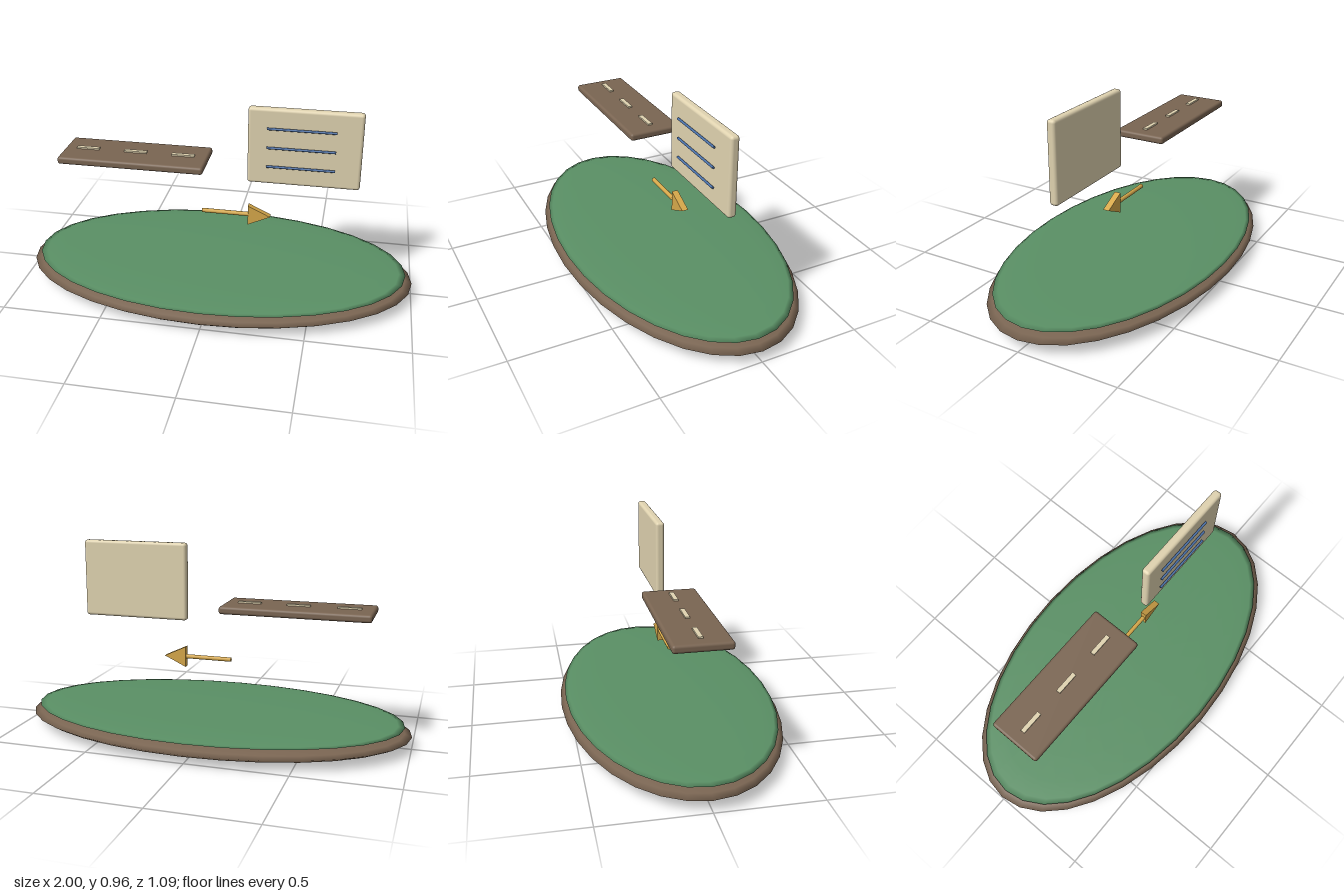
import * as THREE from 'three';
import { RoundedBoxGeometry } from 'three/addons/geometries/RoundedBoxGeometry.js';

export function createModel() {
  const model = new THREE.Group();
  const paint = (color) => new THREE.MeshStandardMaterial({ color });
  const earth = paint(0x7a6552), grass = paint(0x5a9065), cream = paint(0xe0d3b0);
  const blue = paint(0x4a6fa5), gold = paint(0xd6a84a);

  const add = (name, geometry, material, x, y, z = 0) => {
    const mesh = new THREE.Mesh(geometry, material);
    mesh.name = name;
    mesh.position.set(x, y, z);
    model.add(mesh);
    return mesh;
  };
  // flattened sphere
  const disc = (rx, ry, rz) => new THREE.SphereGeometry(1, 32, 12).scale(rx, ry, rz);
  // rod lying along x
  const rod = (radius, length) =>
    new THREE.CylinderGeometry(radius, radius, length, 12).rotateZ(-Math.PI / 2);

  // oval island
  add('islandBase', disc(1, 0.06, 0.545), earth, 0, 0.06);
  add('grassTop', disc(0.965, 0.018, 0.522), grass, 0, 0.104);

  // floating road slab with dashes
  add('roadSlab', new RoundedBoxGeometry(0.74, 0.038, 0.27, 3, 0.013), earth, -0.428, 0.658);
  for (const x of [-0.676, -0.428, -0.182]) {
    add('roadDash', new THREE.BoxGeometry(0.116, 0.01, 0.022), cream, x, 0.68);
  }

  // upright board with written lines
  add('board', new RoundedBoxGeometry(0.554, 0.394, 0.044, 3, 0.015), cream, 0.422, 0.767);
  for (const y of [0.866, 0.767, 0.668]) {
    add('boardLine', rod(0.006, 0.335), blue, 0.407, y, 0.031);
  }

  // arrow: round shaft and flat triangular head
  add('arrowShaft', rod(0.011, 0.24), gold, 0.033, 0.38);
  const head = new THREE.Shape([
    new THREE.Vector2(0, -0.053),
    new THREE.Vector2(0.113, 0),
    new THREE.Vector2(0, 0.053),
  ]);
  const headGeometry = new THREE.ExtrudeGeometry(head, { depth: 0.032, bevelEnabled: false });
  add('arrowHead', headGeometry.translate(0, 0, -0.016), gold, 0.152, 0.38);

  return model;
}
